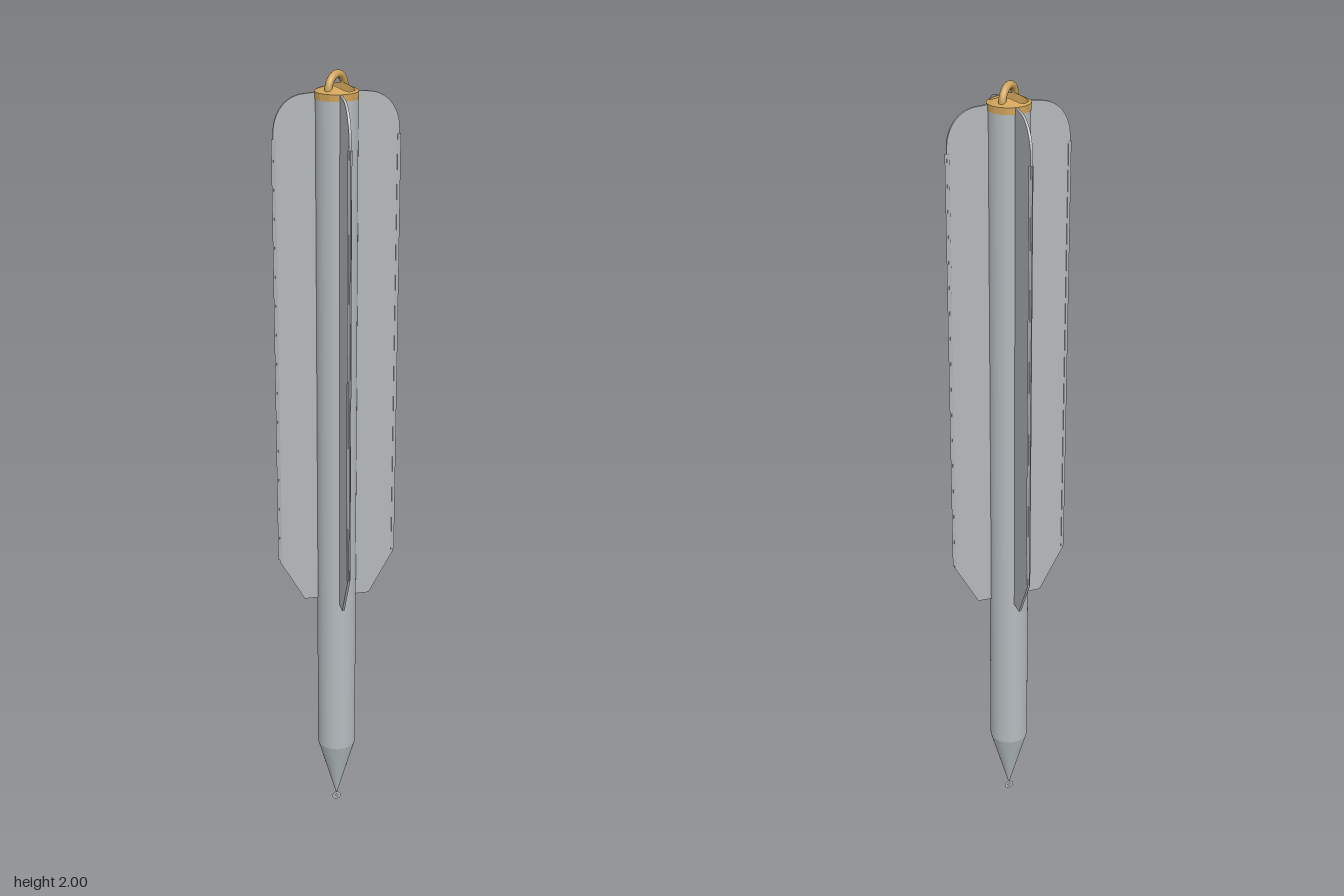
import * as THREE from 'three';
import { toCreasedNormals } from 'three/addons/utils/BufferGeometryUtils.js';

const material = (name, color, side = THREE.FrontSide) => {
  const m = new THREE.MeshStandardMaterial({ color, side });
  m.name = name;
  return m;
};

// Brass collar: a round rim sloping up to an oblong opening
function collarGeometry() {
  const n = 64, positions = [], index = [];
  for (let i = 0; i <= n; i++) {
    const a = (i / n) * Math.PI * 2, c = Math.cos(a), s = Math.sin(a);
    const hole = Math.pow(Math.pow(c / 0.021, 4) + Math.pow(s / 0.044, 4), -0.25);
    const section = [
      [hole, 1.938], [0.051, 1.938], [0.051, 1.954],
      [(hole + 0.051) / 2, 1.954 + (0.051 - hole) * 0.25],
      [hole, 1.954 + (0.051 - hole) * 0.5], [hole, 1.938],
    ];
    for (const [r, y] of section) positions.push(c * r, y, s * r);
    if (i === n) break;
    for (let j = 0; j < 5; j++) {
      const p = i * 6 + j, q = p + 6;
      index.push(p, p + 1, q, q, p + 1, q + 1);
    }
  }
  const g = new THREE.BufferGeometry();
  g.setAttribute('position', new THREE.Float32BufferAttribute(positions, 3));
  g.setIndex(index);
  return toCreasedNormals(g, 0.6);
}

export function createModel() {
  const model = new THREE.Group();
  const steel = material('body steel', 0xb4bbbe, THREE.DoubleSide);
  const finGrey = material('fin grey', 0xb4b8bb);
  const brass = material('brass', 0xcfa25a, THREE.DoubleSide);

  const add = (parent, name, geometry, mat) => {
    const mesh = new THREE.Mesh(geometry, mat);
    mesh.name = name;
    parent.add(mesh);
    return mesh;
  };

  // Hollow shaft and pointed nose
  add(model, 'shaft', new THREE.CylinderGeometry(0.05, 0.05, 1.74, 48, 1, true), steel).position.y = 1.07;
  add(model, 'noseCone', new THREE.CylinderGeometry(0.05, 0.001, 0.178, 48, 1, true), steel).position.y = 0.111;

  // Flat eyelet at the very tip
  add(model, 'tipEyelet', new THREE.RingGeometry(0.004, 0.012, 20), steel).position.y = 0.012;

  // Four fins, each with a ridged outer edge
  const outline = new THREE.Shape();
  outline.moveTo(0.046, 0.65);
  outline.lineTo(0.085, 0.65);
  outline.lineTo(0.148, 0.765);
  outline.lineTo(0.148, 1.86);
  outline.bezierCurveTo(0.148, 1.91, 0.12, 1.945, 0.08, 1.95);
  outline.lineTo(0.046, 1.953);
  outline.closePath();
  const plate = new THREE.ExtrudeGeometry(outline, { depth: 0.006, bevelEnabled: false, curveSegments: 14 });
  plate.translate(0, 0, -0.003);

  const ridge = new THREE.Shape([
    new THREE.Vector2(0.143, -0.0055),
    new THREE.Vector2(0.152, 0),
    new THREE.Vector2(0.143, 0.0055),
  ]);
  const edge = new THREE.ExtrudeGeometry(ridge, { depth: 1.08, bevelEnabled: false });
  edge.rotateX(-Math.PI / 2).translate(0, 0.77, 0);

  for (let i = 0; i < 4; i++) {
    const fin = new THREE.Group();
    fin.name = 'fin' + (i + 1);
    add(fin, 'finPlate', plate, finGrey);
    add(fin, 'finEdge', edge, finGrey);
    fin.rotation.y = (i * Math.PI) / 2;
    model.add(fin);
  }

  // Collar and hanging ring, turned diagonally between the fins
  const hanger = new THREE.Group();
  hanger.name = 'hanger';
  add(hanger, 'collar', collarGeometry(), brass);
  add(hanger, 'hangingRing', new THREE.TorusGeometry(0.034, 0.009, 16, 32, Math.PI), brass).position.y = 1.957;
  hanger.rotation.y = Math.PI / 4;
  model.add(hanger);

  return model;
}
